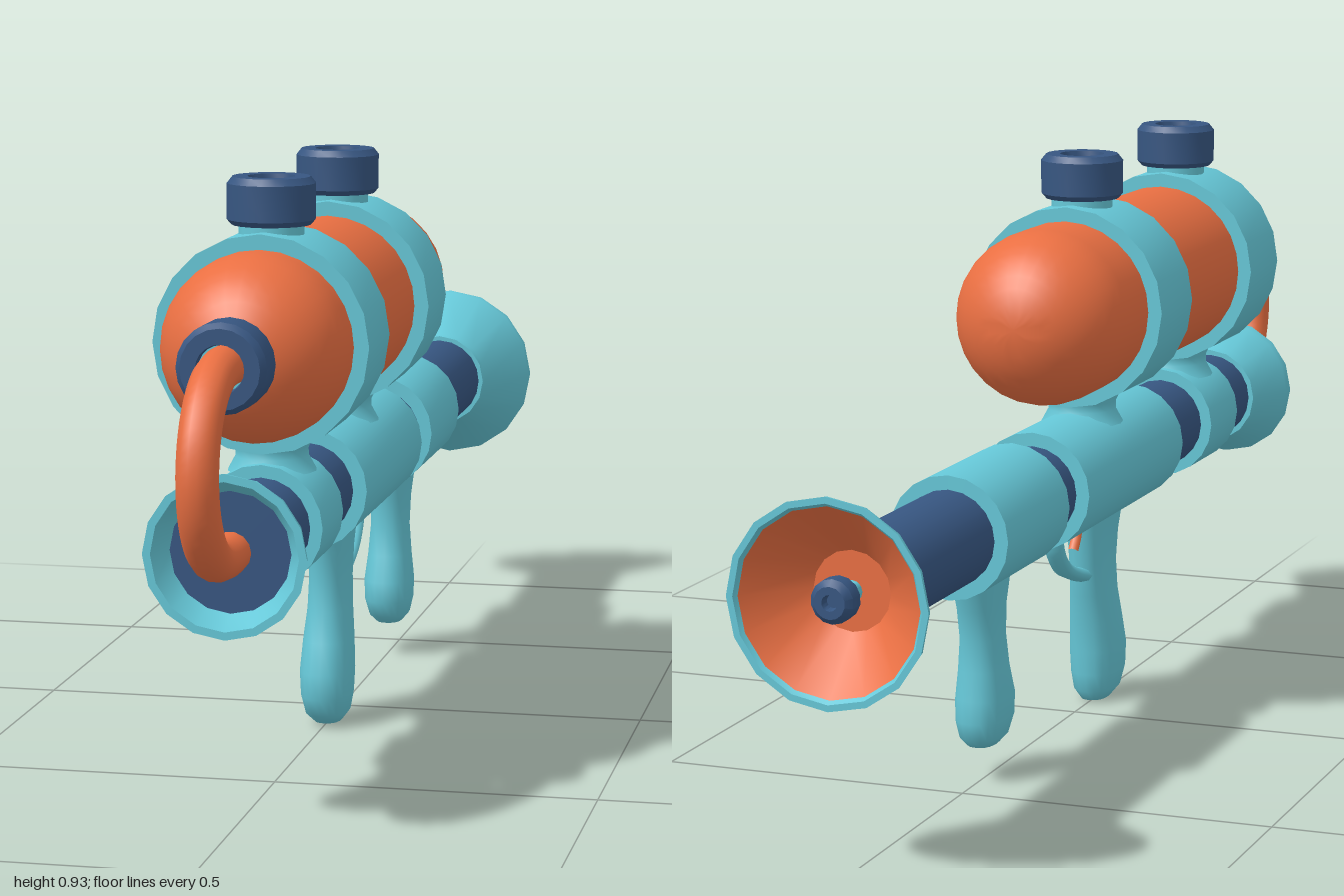
import * as THREE from 'three';
import { toCreasedNormals } from 'three/addons/utils/BufferGeometryUtils.js';

const paint = (color) => new THREE.MeshStandardMaterial({ color });
const TEAL = paint(0x66c8d8), NAVY = paint(0x375681), ORANGE = paint(0xe96f42);
const BARREL_Y = 0.415, TANK_Y = 0.69;

export function createModel() {
  const model = new THREE.Group();
  model.name = 'waterBlaster';

  function add(name, geometry, material, x = 0, y = 0, z = 0, parent = model) {
    const mesh = new THREE.Mesh(geometry, material);
    mesh.name = name;
    mesh.position.set(x, y, z);
    parent.add(mesh);
    return mesh;
  }
  // Turned shape about y from [radius, height] points
  const turned = (points, sides) => toCreasedNormals(
    new THREE.LatheGeometry(points.map(([r, h]) => new THREE.Vector2(r, h)), sides), 0.65);
  // Turned shape about z
  const turnedZ = (points, sides) => turned(points, sides).rotateX(Math.PI / 2);
  const drum = (r, z0, z1) => [[0, z0], [r, z0], [r, z1], [0, z1]];

  // Barrel and its sleeves
  add('barrel', turnedZ(drum(0.075, -0.9, 0.77), 20), NAVY, 0, BARREL_Y);
  for (const [name, r, z0, z1] of [
    ['frontSleeve', 0.094, 0.435, 0.583],
    ['middleSleeve', 0.097, -0.195, 0.27],
    ['rearSleeve', 0.097, -0.55, -0.285],
  ]) add(name, turnedZ(drum(r, z0, z1), 20), TEAL, 0, BARREL_Y);

  // Front bell with a dark recessed plate
  add('frontBell', turnedZ([[0.07, 0.71], [0.084, 0.71], [0.087, 0.73], [0.119, 0.8],
    [0.122, 0.816], [0.11, 0.816], [0.089, 0.775]], 16), TEAL, 0, BARREL_Y);
  add('frontPlate', turnedZ([[0.091, 0.778], [0, 0.778]], 16), NAVY, 0, BARREL_Y);

  // Rear bell with coloured lining and a small nozzle
  add('rearBell', turnedZ([[0.138, -0.99], [0.145, -1], [0.155, -1], [0.153, -0.99],
    [0.085, -0.9], [0.083, -0.885], [0.07, -0.885]], 16), TEAL, 0, BARREL_Y);
  add('rearBellLining', turnedZ([[0, -0.91], [0.06, -0.91], [0.14, -0.993]], 16), ORANGE, 0, BARREL_Y);
  add('nozzleStem', turnedZ(drum(0.016, -0.96, -0.9), 12), TEAL, 0, BARREL_Y);
  add('nozzleTip', turnedZ([[0, -0.975], [0.01, -0.975], [0.012, -0.99], [0.024, -0.99],
    [0.033, -0.98], [0.033, -0.955], [0.024, -0.945], [0, -0.945]], 14), NAVY, 0, BARREL_Y);

  // Tank with rounded ends
  const tank = [];
  for (let i = 0; i <= 10; i++) {
    const a = (i / 10) * Math.PI / 2;
    tank.push([0.142 * Math.sin(a), -0.138 - 0.142 * Math.cos(a)]);
  }
  for (let i = 0; i <= 10; i++) {
    const a = (i / 10) * Math.PI / 2;
    tank.push([0.142 * Math.cos(a), 0.612 + 0.142 * Math.sin(a)]);
  }
  add('tank', turnedZ(tank, 28), ORANGE, 0, TANK_Y);

  // Screw cap standing on its base, with an open middle
  const capGeometry = turned([[0, 0], [0.06, 0], [0.067, 0.008], [0.067, 0.062], [0.059, 0.072],
    [0.036, 0.072], [0.034, 0.06]], 20);

  // Tank bands, their fill caps and the saddles joining them to the barrel
  for (const [side, z] of [['front', 0.509], ['rear', 0.035]]) {
    const band = new THREE.Group();
    band.name = side + 'TankBand';
    band.position.z = z;
    model.add(band);
    add('band', turnedZ(drum(0.165, -0.077, 0.077), 20), TEAL, 0, TANK_Y, 0, band);
    add('saddle', turned([[0.068, 0.49], [0.056, 0.512], [0.056, 0.525], [0.068, 0.55]], 16), TEAL, 0, 0, 0, band);
    add('capNeck', new THREE.CylinderGeometry(0.05, 0.05, 0.05, 16), TEAL, 0, 0.855, 0, band);
    add('cap', capGeometry, NAVY, 0, 0.862, 0, band);
    add('capInsert', turned([[0.036, 0.924], [0.014, 0.924], [0.014, 0.916]], 16), ORANGE, 0, 0, 0, band);
    add('capCentre', turned([[0.016, 0.917], [0, 0.917]], 12), NAVY, 0, 0, 0, band);
  }

  // Tank outlet and the hose looping into the front bell
  add('outletNeck', turnedZ(drum(0.05, 0.735, 0.775), 16), TEAL, 0, TANK_Y);
  add('outletCap', capGeometry.clone().rotateX(Math.PI / 2), NAVY, 0, TANK_Y, 0.765);
  const path = [new THREE.Vector3(0, TANK_Y, 0.77)];
  for (let i = 0; i <= 8; i++) {
    const a = (i / 8) * Math.PI;
    path.push(new THREE.Vector3(0, 0.5525 + 0.1375 * Math.cos(a), 0.83 + 0.139 * Math.sin(a)));
  }
  path.push(new THREE.Vector3(0, BARREL_Y, 0.76));
  add('hose', new THREE.TubeGeometry(new THREE.CatmullRomCurve3(path), 40, 0.031, 14), ORANGE);

  // Grip from oval sections [y, z front, z back, half width], bottom to top
  function grip(sections) {
    const n = sections.length;
    const g = new THREE.LatheGeometry(sections.map(([y]) => new THREE.Vector2(1, y)), 20);
    const p = g.attributes.position;
    for (let i = 0; i < p.count; i++) {
      const [y, zf, zb, w] = sections[i % n];
      const soften = (v) => Math.sign(v) * Math.abs(v) ** 0.85;
      p.setXYZ(i, soften(p.getX(i)) * w, y, (zf + zb) / 2 + soften(p.getZ(i)) * (zf - zb) / 2);
    }
    return toCreasedNormals(g, 1.0);
  }
  add('mainGrip', grip([[0, 0.115, 0.085, 0], [0.003, 0.14, 0.068, 0.022], [0.02, 0.165, 0.056, 0.035],
    [0.05, 0.178, 0.052, 0.041], [0.09, 0.178, 0.05, 0.043], [0.14, 0.162, 0.046, 0.04],
    [0.19, 0.15, 0.035, 0.035], [0.24, 0.148, 0.027, 0.033], [0.29, 0.156, 0.02, 0.035],
    [0.35, 0.172, 0.012, 0.042]]), TEAL);
  add('rearGrip', grip([[0.055, -0.39, -0.43, 0], [0.058, -0.375, -0.445, 0.022], [0.072, -0.355, -0.46, 0.034],
    [0.1, -0.342, -0.466, 0.041], [0.135, -0.344, -0.463, 0.042], [0.18, -0.36, -0.457, 0.037],
    [0.23, -0.367, -0.456, 0.033], [0.28, -0.364, -0.468, 0.034], [0.35, -0.348, -0.492, 0.042]]), TEAL);

  // Trigger guard and trigger
  const guard = new THREE.CatmullRomCurve3([[0.33, -0.105], [0.295, -0.092], [0.262, -0.06],
    [0.242, -0.015], [0.225, 0.045]].map(([y, z]) => new THREE.Vector3(0, y, z)));
  add('triggerGuard', new THREE.TubeGeometry(guard, 20, 0.012, 8), TEAL).scale.x = 1.5;
  const trigger = new THREE.CatmullRomCurve3([[0.33, 0.016], [0.3, 0.008], [0.278, -0.008]]
    .map(([y, z]) => new THREE.Vector3(0, y, z)));
  add('trigger', new THREE.TubeGeometry(trigger, 8, 0.009, 8), ORANGE);

  return model;
}
